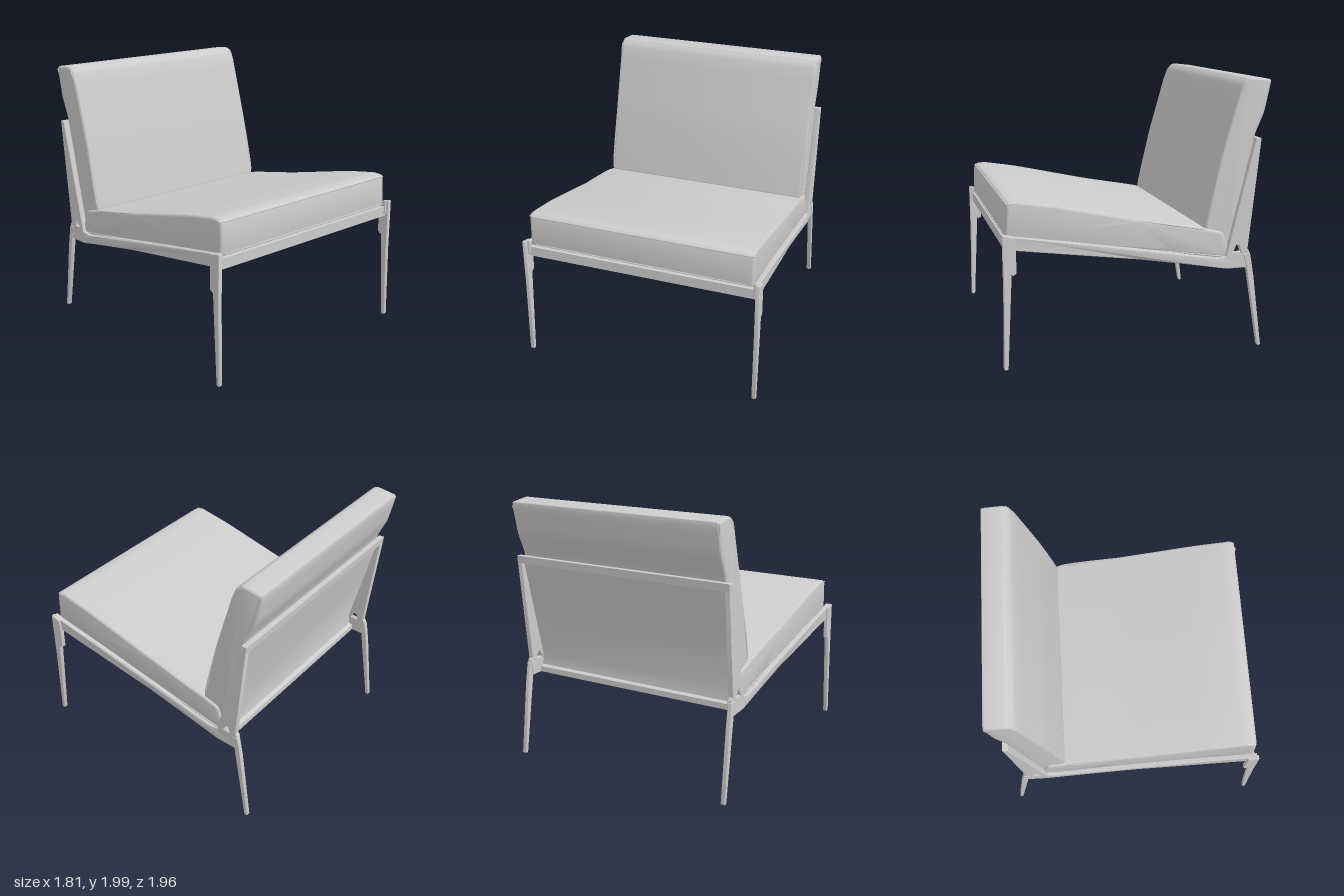
import * as THREE from 'three';
import { toCreasedNormals } from 'three/addons/utils/BufferGeometryUtils.js';

const grey = new THREE.MeshStandardMaterial({ color: 0xcccccc });
grey.name = 'light grey';

// Closed outline of [z, y, cornerRadius] points with softened corners
function outline(points) {
  const shape = new THREE.Shape();
  const n = points.length;
  const at = (i) => new THREE.Vector2(points[(i + n) % n][0], points[(i + n) % n][1]);
  for (let i = 0; i < n; i++) {
    const p = at(i), r = points[i][2] || 0;
    const toward = (q) => p.clone().add(q.clone().sub(p).setLength(r));
    const a = r ? toward(at(i - 1)) : p;
    if (i === 0) shape.moveTo(a.x, a.y); else shape.lineTo(a.x, a.y);
    if (r) {
      const b = toward(at(i + 1));
      shape.quadraticCurveTo(p.x, p.y, b.x, b.y);
    }
  }
  shape.closePath();
  return shape;
}

// Side profile extruded across x from x0 to x1
function profile(name, points, x0, x1, bevel = 0.004) {
  let geo = new THREE.ExtrudeGeometry(outline(points), {
    depth: x1 - x0 - 2 * bevel, bevelEnabled: true, bevelSize: bevel, bevelOffset: -bevel,
    bevelThickness: bevel, bevelSegments: bevel > 0.01 ? 4 : 1, curveSegments: 6,
  });
  geo.translate(0, 0, bevel - (x1 - x0) / 2);
  geo.rotateY(-Math.PI / 2);
  geo.translate((x0 + x1) / 2, 0, 0);
  geo = toCreasedNormals(geo, 0.6);
  const mesh = new THREE.Mesh(geo, grey);
  mesh.name = name;
  return mesh;
}

// Piping around a rectangular cushion face: [z, y] points run along its side
function piping(name, side, halfWidth) {
  const pts = [
    ...side.map(([z, y]) => new THREE.Vector3(halfWidth, y, z)),
    ...side.slice().reverse().map(([z, y]) => new THREE.Vector3(-halfWidth, y, z)),
  ];
  const curve = new THREE.CatmullRomCurve3(pts, true, 'catmullrom', 0.04);
  const mesh = new THREE.Mesh(new THREE.TubeGeometry(curve, 160, 0.006, 6, true), grey);
  mesh.name = name;
  return mesh;
}

// Shift x with a linear rule so legs and rails splay outwards
function splay(mesh, rule) {
  const p = mesh.geometry.attributes.position;
  for (let i = 0; i < p.count; i++) {
    p.setX(i, p.getX(i) + rule(p.getY(i), p.getZ(i)));
  }
  mesh.geometry = toCreasedNormals(mesh.geometry, 0.6);
  return mesh;
}

export function createModel() {
  const chair = new THREE.Group();
  chair.name = 'loungeChair';

  // Cushions
  chair.add(profile('seatCushion', [
    [0.945, 0.95, 0.02], [0.935, 1.19, 0.03], [0.86, 1.2, 0.04], [0.6, 1.158, 0.1],
    [0, 1.022, 0.1], [-0.5, 0.925, 0.03], [-0.64, 0.89, 0.03], [-0.685, 0.77, 0.02],
    [-0.66, 0.7, 0.02], [-0.2, 0.775, 0.05],
  ], -0.845, 0.845, 0.02));
  chair.add(profile('backCushion', [
    [-0.5, 0.915, 0.02], [-0.612, 1.42, 0.1], [-0.742, 1.88, 0.04], [-0.775, 1.965, 0.03],
    [-0.82, 2.0, 0.02], [-0.982, 1.983, 0.02], [-0.975, 1.92, 0.02], [-0.94, 1.75, 0.05],
    [-0.87, 1.6, 0.03], [-0.79, 1.22, 0.1], [-0.68, 0.75, 0.02],
  ], -0.828, 0.828, 0.02));

  // Seams
  chair.add(piping('seatTopPiping', [[0.93, 1.178], [0.86, 1.19], [0.6, 1.148],
    [0, 1.014], [-0.49, 0.92]], 0.835));
  chair.add(piping('seatBottomPiping', [[0.938, 0.957], [0.2, 0.84], [-0.2, 0.778],
    [-0.64, 0.71]], 0.838));
  chair.add(piping('backFrontPiping', [[-0.512, 0.93], [-0.62, 1.42], [-0.75, 1.88],
    [-0.805, 1.982]], 0.818));
  chair.add(piping('backRearPiping', [[-0.974, 1.976], [-0.965, 1.92], [-0.93, 1.75],
    [-0.866, 1.6], [-0.785, 1.22], [-0.68, 0.78]], 0.818));

  // Side frames, built on the left and mirrored
  for (const s of [1, -1]) {
    const both = (name, pts, x0, x1, rule = () => 0) => {
      const mesh = profile(name, pts, s > 0 ? x0 : -x1, s > 0 ? x1 : -x0);
      chair.add(splay(mesh, (y, z) => s * rule(y, z)));
    };
    both('sideRail', [
      [0.96, 0.985], [0.9, 0.967], [0.2, 0.85], [-0.2, 0.78], [-0.58, 0.705], [-0.66, 0.715],
      [-0.705, 0.742], [-0.772, 0.742], [-0.8, 0.78], [-0.84, 0.74, 0.02], [-0.818, 0.62, 0.01],
      [-0.66, 0.62, 0.02], [-0.4, 0.67, 0.05], [0, 0.74, 0.05], [0.88, 0.87], [0.96, 0.88],
    ], 0.832, 0.868, (y, z) => 0.018 * Math.max(0, z));
    // Post notched at its foot to leave a small triangular opening
    both('backPost', [
      [-0.862, 1.57], [-0.902, 1.57, 0.005], [-0.818, 0.735], [-0.77, 0.735],
      [-0.755, 0.785], [-0.735, 0.797], [-0.705, 0.735], [-0.655, 0.71], [-0.668, 0.77],
    ], 0.83, 0.87);
    both('frontLeg', [
      [0.977, 0.987, 0.015], [0.895, 0.965], [0.885, 0.86], [0.885, 0.715], [0.912, 0.698],
      [0.918, 0.715], [0.955, 0.03, 0.01], [0.985, 0.03, 0.01], [0.975, 0.6],
    ], 0.868, 0.9, (y) => 0.006 * (1 - y));
    both('rearLeg', [
      [-0.79, 0.72], [-0.84, 0.735, 0.02], [-0.872, 0.56], [-0.945, 0.01, 0.01],
      [-0.918, 0.01, 0.01], [-0.815, 0.62],
    ], 0.838, 0.872, (y) => 0.008 * (0.7 - y));
  }

  // Cross rails
  chair.add(profile('frontRail', [[0.95, 0.935], [0.91, 0.935], [0.91, 0.86], [0.95, 0.86]],
    -0.875, 0.875));
  chair.add(profile('rearRail', [[-0.73, 0.665], [-0.66, 0.69], [-0.66, 0.622], [-0.73, 0.622]],
    -0.84, 0.84));
  chair.add(profile('backTopRail', [[-0.902, 1.57], [-0.862, 1.57], [-0.856, 1.515],
    [-0.897, 1.515]], -0.87, 0.87));

  // Panel behind the back cushion, reaching down to the rear rail
  chair.add(profile('backPanel', [[-0.66, 0.66], [-0.702, 0.66], [-0.692, 0.76],
    [-0.79, 1.18], [-0.872, 1.53], [-0.855, 1.53], [-0.67, 0.76]], -0.835, 0.835));

  // Seat base: a slab recessed within a rim underneath
  chair.add(profile('seatBase', [[0.92, 0.945], [-0.69, 0.7], [-0.69, 0.67], [0.92, 0.9]],
    -0.84, 0.84));
  const rim = (z0, z1, x0, x1) => {
    const y = (z) => 0.752 + 0.142 * z;
    chair.add(profile('seatRim', [[z0, y(z0) + 0.04], [z1, y(z1) + 0.04], [z1, y(z1)],
      [z0, y(z0)]], x0, x1, 0.001));
  };
  rim(0.92, 0.79, -0.84, 0.84);
  rim(-0.6, -0.69, -0.84, 0.84);
  rim(0.79, -0.6, 0.745, 0.84);
  rim(0.79, -0.6, -0.84, -0.745);

  return chair;
}
